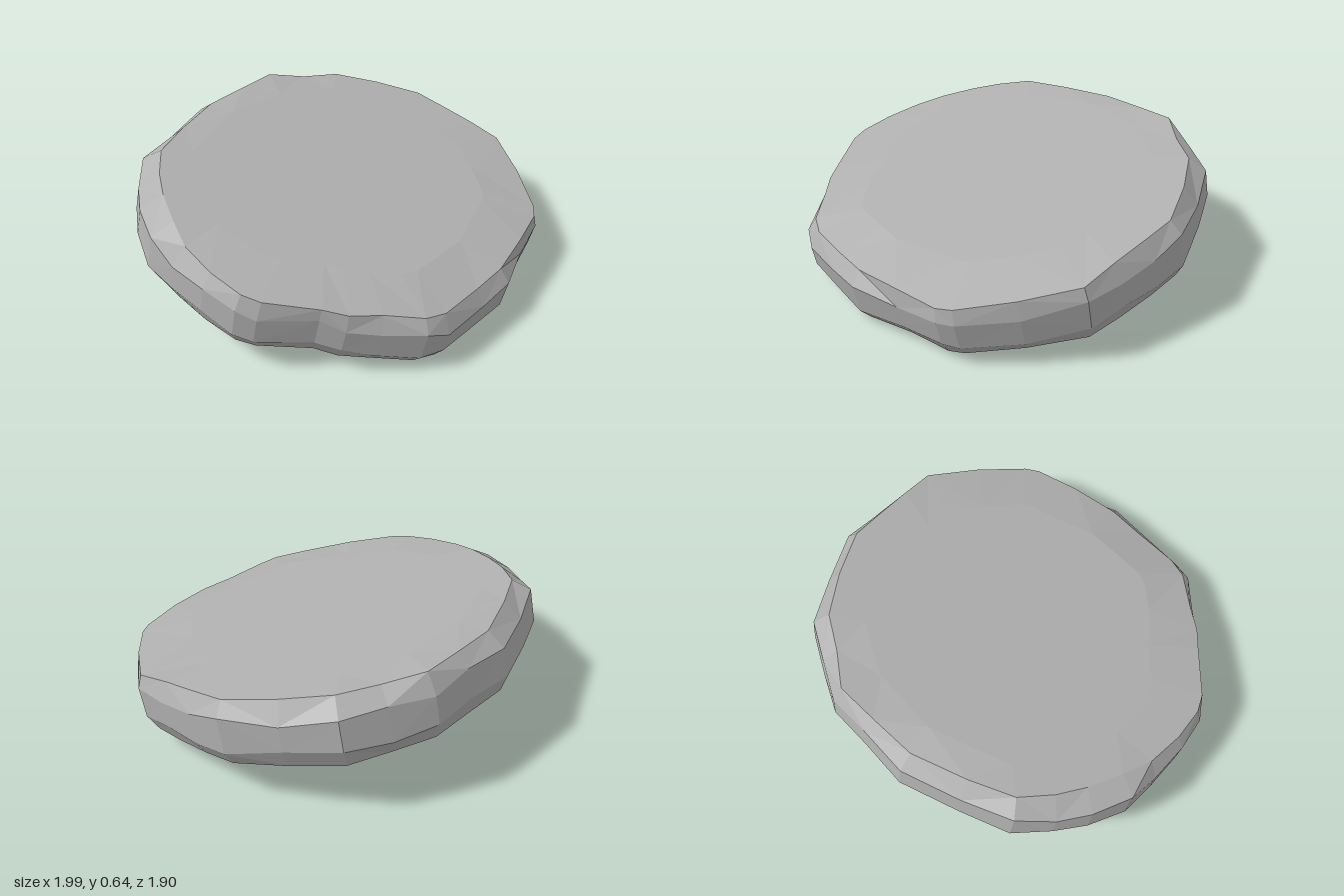
import * as THREE from 'three';

// Rim of the slab, clockwise from the back: x, z, inset of the top edge, drop of the top edge
const RIM = [
  [-0.05, -0.955, 0.08, 0.02], [0.2, -0.92, 0.06, 0.01], [0.42, -0.89, 0.05, 0.0],
  [0.6, -0.78, 0.08, 0.01], [0.78, -0.66, 0.09, 0.0], [0.9, -0.43, 0.07, 0.0],
  [1.0, -0.18, 0.06, 0.0], [1.0, 0.0, 0.06, 0.0], [0.985, 0.2, 0.05, 0.0],
  [0.96, 0.38, 0.03, 0.01], [0.79, 0.61, 0.03, 0.02], [0.6, 0.81, 0.03, 0.03],
  [0.53, 0.85, 0.03, 0.03], [0.3, 0.89, 0.03, 0.02], [0.05, 0.955, 0.07, 0.03],
  [-0.15, 0.935, 0.07, 0.04], [-0.4, 0.905, 0.07, 0.04], [-0.5, 0.85, 0.06, 0.03],
  [-0.63, 0.7, 0.05, 0.02], [-0.73, 0.58, 0.03, 0.02], [-0.78, 0.47, 0.01, 0.01],
  [-0.95, 0.27, 0.03, 0.01], [-0.99, 0.18, 0.04, 0.01], [-1.0, 0.0, 0.05, 0.01],
  [-0.985, -0.2, 0.07, 0.01], [-0.96, -0.37, 0.12, 0.0], [-0.86, -0.55, 0.12, 0.0],
  [-0.75, -0.68, 0.11, 0.0], [-0.6, -0.81, 0.1, 0.0], [-0.35, -0.88, 0.08, 0.01],
];

// The two tilted planes between which the slab lies
const topY = (z) => 0.48 - 0.2 * z;
const bottomY = (z) => Math.max(0, 0.165 - 0.19 * z);

// A rim point moved inwards, at level t (0 = underside, 1 = top)
function rimPoint([x, z, , drop], inset, t) {
  const k = 1 - inset / Math.hypot(x, z);
  const pz = z * k * 0.985 + 0.06 * (t - 0.5);
  const low = bottomY(pz);
  return [x * k, low + (topY(pz) - drop - low) * t, pz];
}

function slabGeometry() {
  const n = RIM.length;
  // Rings from the top surface down over the side to the underside
  const rings = [
    RIM.map(([x, z]) => [x * 0.72, topY(z * 0.72), z * 0.72]),
    RIM.map((p) => rimPoint(p, p[2], 1)),
    RIM.map((p, i) => rimPoint(p, p[2] * 0.12, 0.74 + 0.06 * Math.sin(i * 2.3))),
    RIM.map((p, i) => rimPoint(p, 0.004, 0.27 + 0.05 * Math.sin(i * 1.7))),
    RIM.map((p) => rimPoint(p, 0.045, 0)),
  ];
  const topCentre = [-0.2, topY(0.27), 0.27];
  const underCentre = [0, bottomY(0), 0];
  const out = [];
  const tri = (...corners) => corners.forEach((c) => out.push(...c));

  for (let i = 0; i < n; i++) {
    const j = (i + 1) % n;
    tri(topCentre, rings[0][j], rings[0][i]);
    for (let r = 0; r < rings.length - 1; r++) {
      const up = rings[r], down = rings[r + 1];
      // Alternate the diagonals for an irregular chipped look
      if (i % 2) {
        tri(up[j], down[j], down[i]);
        tri(up[j], down[i], up[i]);
      } else {
        tri(up[j], down[j], up[i]);
        tri(up[i], down[j], down[i]);
      }
    }
    const last = rings[rings.length - 1];
    tri(underCentre, last[i], last[j]);
  }
  const geometry = new THREE.BufferGeometry();
  geometry.setAttribute('position', new THREE.Float32BufferAttribute(out, 3));
  geometry.computeVertexNormals();
  return geometry;
}

export function createModel() {
  const group = new THREE.Group();
  group.name = 'flatStone';
  const stone = new THREE.MeshStandardMaterial({ color: 0xb0b0b0, flatShading: true });
  stone.name = 'stoneGrey';
  const slab = new THREE.Mesh(slabGeometry(), stone);
  slab.name = 'stoneSlab';
  group.add(slab);
  return group;
}
